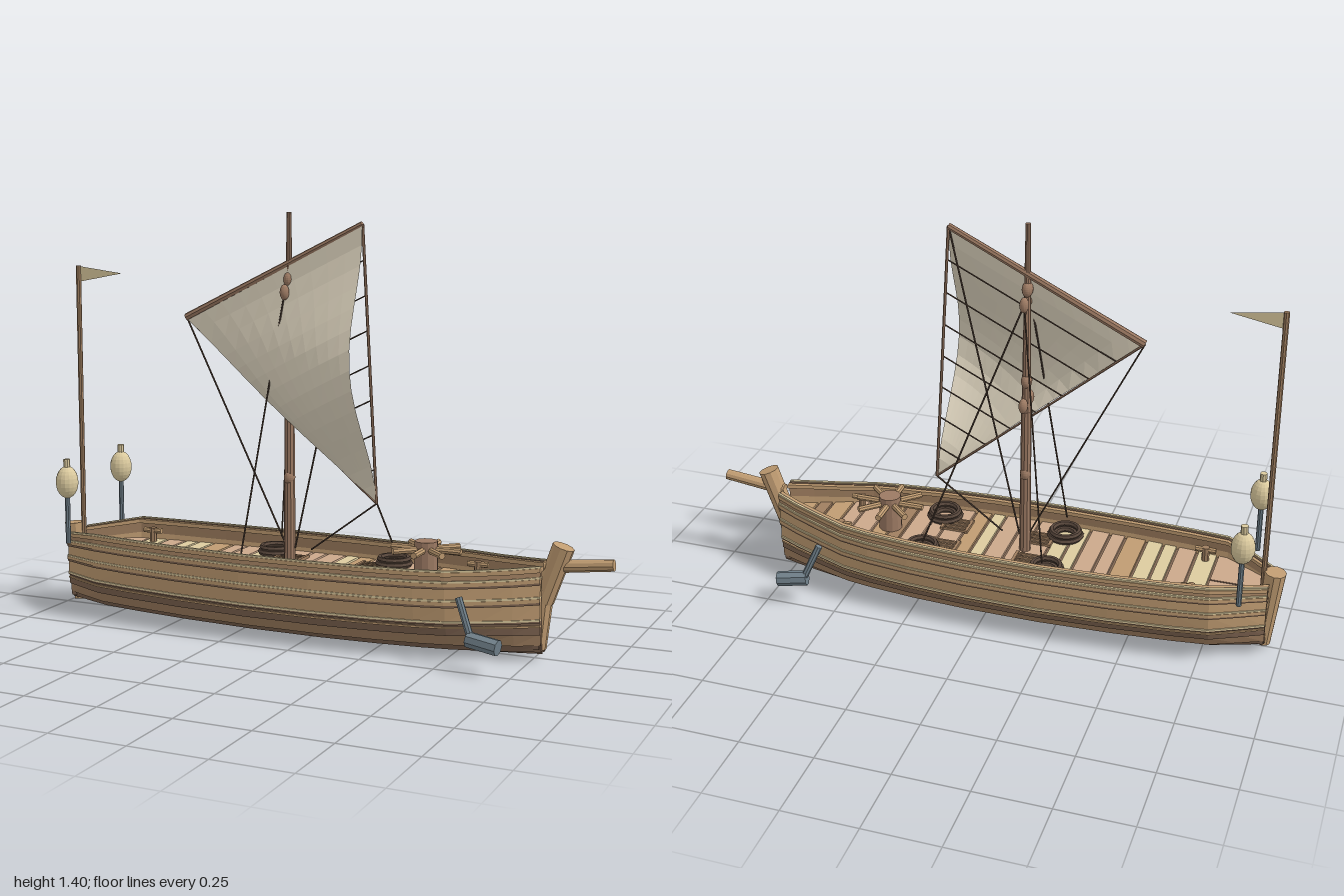
import * as THREE from 'three';

const V = (x, y, z = 0) => new THREE.Vector3(x, y, z);
const mat = (name, color, extra = {}) => {
  const m = new THREE.MeshStandardMaterial({ color, flatShading: true, ...extra });
  m.name = name;
  return m;
};

// Plan of the hull: half-width at each station along x
const PLAN = [[-0.95, 0.065], [-0.87, 0.115], [-0.78, 0.17], [-0.65, 0.185], [-0.45, 0.2], [-0.2, 0.21], [0.05, 0.207],
  [0.25, 0.195], [0.4, 0.178], [0.5, 0.16], [0.6, 0.122], [0.7, 0.085], [0.78, 0.05]];
const STATIONS = PLAN.map(p => p[0]);
const TOP = 0.285, DECK = 0.223;

function halfWidth(x) {
  let i = 0;
  while (i < PLAN.length - 2 && x > PLAN[i + 1][0]) i++;
  const [x0, w0] = PLAN[i], [x1, w1] = PLAN[i + 1];
  return w0 + (w1 - w0) * (x - x0) / (x1 - x0);
}

// Bottom rises toward both ends, sheer lifts toward the bow and drops at the stern
function hullY(x, y) {
  const rise = 0.025 * x * x;
  const sheer = x > 0.4 ? 0.14 * (x - 0.4) ** 2 : x < -0.83 ? (x + 0.83) * 0.15 : x < 0 ? 0.012 * x * x : 0;
  return y + rise * (1 - y / TOP) + sheer * y / TOP;
}

// Joins cross-sections [z, y] placed at each x into a closed solid
function sweep(xs, section, side = 1) {
  const pos = [], idx = [];
  const n = section(xs[0]).length;
  const tri = (a, b, c) => side > 0 ? idx.push(a, b, c) : idx.push(a, c, b);
  xs.forEach(x => section(x).forEach(([z, y]) => pos.push(x, y, z * side)));
  for (let i = 0; i < xs.length - 1; i++) for (let k = 0; k < n; k++) {
    const a = i * n + k, d = i * n + (k + 1) % n;
    tri(a, a + n, d + n);
    tri(a, d + n, d);
  }
  const e = (xs.length - 1) * n;
  for (let k = 1; k < n - 1; k++) {
    tri(0, k, k + 1);
    tri(e, e + k + 1, e + k);
  }
  const g = new THREE.BufferGeometry();
  g.setAttribute('position', new THREE.Float32BufferAttribute(pos, 3));
  g.setIndex(idx);
  const flat = g.toNonIndexed();
  flat.computeVertexNormals();
  return flat;
}

export function createModel() {
  const tan = mat('tan wood', 0xc09c72), brown = mat('brown wood', 0xa07f60), pink = mat('rosy wood', 0xcba88b);
  const pale = mat('pale wood', 0xdccb9f, { side: THREE.DoubleSide }), dark = mat('dark wood', 0x7d6350);
  const spar = mat('spar wood', 0x9c7a63), rope = mat('rope', 0x57463b), steel = mat('iron', 0x71818b);
  const cloth = mat('sailcloth', 0xe2d8c2, { side: THREE.DoubleSide });
  const ship = new THREE.Group();
  ship.name = 'sailingBoat';

  const add = (name, geometry, material, p = V(0, 0, 0)) => {
    const m = new THREE.Mesh(geometry, material);
    m.name = name;
    m.position.copy(p);
    ship.add(m);
    return m;
  };
  const box = (name, material, x, y, z, w, h, d) => add(name, new THREE.BoxGeometry(w, h, d), material, V(x, y, z));
  const rod = (name, material, a, b, r0, r1 = r0, sides = 8) => {
    const m = add(name, new THREE.CylinderGeometry(r1, r0, a.distanceTo(b), sides), material, a.clone().lerp(b, 0.5));
    m.quaternion.setFromUnitVectors(V(0, 1, 0), b.clone().sub(a).normalize());
    return m;
  };
  const ball = (name, material, p, rx, ry, rz) => add(name, new THREE.SphereGeometry(1, 16, 12), material, p).scale.set(rx, ry, rz);
  const both = fn => [1, -1].forEach(fn);

  // Overlapping strakes from keel to gunwale: [width fraction, height]
  const ribs = [[0, 0.008], [0.27, 0.011], [0.5, 0.019], [0.68, 0.04], [0.81, 0.075], [0.9, 0.12], [0.96, 0.175], [0.99, 0.235], [0.98, 0.28]];
  const strakeMats = [dark, dark, dark, brown, dark, tan, tan, brown];
  for (let i = 0; i < ribs.length - 1; i++) {
    const [w0, y0] = ribs[i], [w1, y1] = ribs[i + 1];
    const len = Math.hypot((w1 - w0) * 0.2, y1 - y0), nz = (y1 - y0) / len, ny = -(w1 - w0) * 0.2 / len;
    both(s => add('strake', sweep(STATIONS, x => {
      const W = halfWidth(x), o = i ? 0.006 : 0, t = 0.012;
      const za = W * w0, zb = W * w1, ya = hullY(x, y0), yb = hullY(x, y1);
      return [[za + nz * o, ya + ny * o], [zb, yb], [Math.max(0, zb - nz * t), yb - ny * t], [Math.max(0, za - nz * t), ya - ny * t]];
    }, s), strakeMats[i]));
  }
  box('keel', dark, 0.05, 0.009, 0, 0.7, 0.016, 0.025);
  box('bowBulkhead', dark, 0.765, 0.14, 0, 0.02, 0.2, 0.08);
  box('sternBulkhead', dark, -0.938, 0.14, 0, 0.02, 0.2, 0.1);

  // Rubbing rails and gunwale: [width fraction, low, high, inset, outset, material]
  [[0.86, 0.098, 0.104, 0.01, 0.009, tan], [0.905, 0.118, 0.124, 0.01, 0.01, pale], [0.9, 0.112, 0.118, 0.01, 0.008, dark],
    [0.96, 0.178, 0.19, 0.01, 0.011, tan], [0.96, 0.19, 0.196, 0.01, 0.009, pale], [0.96, 0.17, 0.178, 0.01, 0.008, dark],
    [1, 0.24, 0.252, 0.01, 0.009, tan], [1, 0.252, 0.258, 0.01, 0.007, pale], [1, 0.232, 0.24, 0.01, 0.006, dark],
    [0.98, 0.272, 0.286, 0.026, 0.008, tan], [0.98, 0.286, 0.292, 0.004, 0.005, pale], [0.98, 0.28, 0.288, 0.012, 0, dark]
  ].forEach(([w, lo, hi, a, b, m]) => both(s =>
    add('rail', sweep(STATIONS, x => {
      const z = halfWidth(x) * w, yl = hullY(x, lo), yh = hullY(x, hi);
      return [[z + b, yl], [z + b, yh], [z - a, yh], [z - a, yl]];
    }, s), m)));

  // Deck: crosswise planks of uneven width over a dark underdeck
  const deckSlab = (lo, hi, inset) => x => {
    const w = Math.max(0.02, halfWidth(x) * 0.98 - inset);
    return [[w, DECK + lo], [w, DECK + hi], [-w, DECK + hi], [-w, DECK + lo]];
  };
  add('underdeck', sweep(STATIONS, deckSlab(-0.025, -0.008, 0.008)), dark);
  const plankMats = [pink, tan, pink, pale, brown, pink, pale, tan];
  const widths = [0.07, 0.05, 0.06, 0.075, 0.055];
  for (let i = 0, x = -0.67; x < 0.7; i++) {
    const w = widths[i % 5];
    add('deckPlank', sweep([x, x + w - 0.01], deckSlab(-0.012, 0, 0.01)), plankMats[(i * 3 + (i >> 2)) % 8]);
    x += w;
  }
  add('sternDeck', sweep([-0.945, -0.87, -0.78, -0.75], deckSlab(-0.012, 0, 0.01)), pink);
  add('sternDeckPlank', sweep([-0.742, -0.68], deckSlab(-0.012, 0, 0.01)), pale);
  box('sternDeckSeam', dark, -0.85, DECK + 0.001, 0, 0.2, 0.003, 0.006);

  // Stem, bowsprit and sternpost
  rod('stem', tan, V(0.758, 0.035), V(0.775, 0.23), 0.03, 0.036, 10);
  rod('stemHead', tan, V(0.775, 0.19), V(0.838, 0.37), 0.035, 0.036, 10);
  rod('bowsprit', tan, V(0.78, 0.3), V(1, 0.325), 0.021, 0.019, 10);
  rod('sternpost', tan, V(-0.94, 0.02), V(-0.963, 0.295), 0.026, 0.036, 10);

  // Flagpole with pennant
  rod('flagpole', brown, V(-0.925, 0.2), V(-0.925, 1.21), 0.009);
  const pennant = new THREE.Shape([new THREE.Vector2(0, 0), new THREE.Vector2(0.175, -0.022), new THREE.Vector2(0, -0.055)]);
  add('pennant', new THREE.ShapeGeometry(pennant), pale, V(-0.925, 1.208, 0));

  // Stern lanterns and bow anchors
  both(s => {
    rod('lanternPole', steel, V(-0.875, 0.26, s * 0.177), V(-0.875, 0.43, s * 0.177), 0.009);
    ball('lantern', pale, V(-0.875, 0.475, s * 0.177), 0.039, 0.056, 0.039);
    rod('lanternCap', pale, V(-0.875, 0.52, s * 0.177), V(-0.875, 0.555, s * 0.177), 0.012);
    rod('anchorShank', steel, V(0.565, 0.225, s * 0.205), V(0.618, 0.1, s * 0.233), 0.012);
    rod('anchorHead', steel, V(0.605, 0.103, s * 0.228), V(0.708, 0.091, s * 0.245), 0.026);
  });

  // Capstan
  rod('capstanDrum', spar, V(0.38, DECK), V(0.38, 0.347), 0.04, 0.038, 12);
  for (let i = 0; i < 4; i++) {
    const a = i * Math.PI / 4, d = V(Math.cos(a) * 0.12, 0, Math.sin(a) * 0.115);
    rod('capstanBar', tan, V(0.38, 0.32).sub(d), V(0.38, 0.32).add(d), 0.011);
  }

  // Mooring bitts
  [[-0.71, 0.12], [0.525, 0.095]].forEach(([x, z]) => both(s => {
    rod('bittPost', brown, V(x, DECK, s * z), V(x, DECK + 0.05, s * z), 0.013);
    rod('bittBar', tan, V(x - 0.035, DECK + 0.04, s * z), V(x + 0.035, DECK + 0.04, s * z), 0.01);
  }));

  // Flat rope coils and low gratings
  [-0.22, 0.22].forEach(x => both(s => [[0.054, 0.01], [0.036, 0.008], [0.048, 0.025]].forEach(([r, y]) => {
    add('ropeCoil', new THREE.TorusGeometry(r, 0.01, 6, 16), rope, V(x, DECK + y, s * 0.12)).rotation.x = Math.PI / 2;
  })));
  [-0.14, 0.16].forEach(x => both(s => {
    for (let i = 0; i < 4; i++) box('gratingBar', brown, x, DECK + 0.004, s * (0.04 + i * 0.022), 0.09, 0.008, 0.007);
    both(e => box('gratingEdge', brown, x + e * 0.045, DECK + 0.005, s * 0.073, 0.01, 0.01, 0.08));
  }));

  // Mast and slanted yard
  const A = V(-0.495, 1.043), B = V(0.152, 1.362), C = V(0.205, 0.455);
  rod('mast', spar, V(-0.11, 0.2), V(-0.11, 0.75), 0.02, 0.017, 10);
  rod('topmast', spar, V(-0.11, 0.75), V(-0.11, 1.4), 0.016, 0.008, 10);
  rod('yard', spar, A, B, 0.014, 0.011);

  // Triangular sail, bellied most along the trailing edge
  const N = 14, M = 10, pos = [], idx = [];
  for (let i = 0; i <= N; i++) for (let j = 0; j <= M; j++) {
    const t = i / N, s = j / M;
    const p = A.clone().lerp(B, s).lerp(C, t);
    p.z = 0.008 * (1 - t) + 0.162 * Math.sin(Math.PI * t) ** 2 * (0.15 + 0.85 * Math.sin(s * Math.PI / 2) ** 0.7);
    pos.push(p.x, p.y, p.z);
    if (i < N && j < M) {
      const a = i * (M + 1) + j, b = a + M + 1;
      idx.push(a, b, a + 1);
      if (i < N - 1) idx.push(b, b + 1, a + 1);
    }
  }
  const sail = new THREE.BufferGeometry();
  sail.setAttribute('position', new THREE.Float32BufferAttribute(pos, 3));
  sail.setIndex(idx);
  const sailFlat = sail.toNonIndexed();
  sailFlat.computeVertexNormals();
  add('sail', sailFlat, cloth);

  // Sail edge ropes and the cross lines behind the cloth
  rod('leechRope', spar, B, C, 0.005, 0.005, 6);
  rod('footRope', spar, A, C, 0.004, 0.004, 6);
  for (let i = 1; i < 8; i++) rod('crossLine', rope, A.clone().lerp(C, i / 8), B.clone().lerp(C, i / 8), 0.0025, 0.0025, 5);

  // Running and standing rigging
  const line = (name, a, b) => rod(name, rope, a, b, 0.003, 0.003, 6);
  [[A, V(-0.12, 0.28)], [B, V(-0.09, 0.28)], [C, V(-0.03, 0.28)]].forEach(([a, b]) => line('sheet', a, b));
  both(s => line('aftShroud', V(-0.11, 1.14, s * 0.035), V(-0.215, 0.28, s * 0.155)));
  line('forwardShroud', V(-0.11, 1.14, -0.035), V(0.205, 0.28, -0.155));

  // Pulley blocks
  both(s => [1.14, 0.785].forEach(y => ball('block', spar, V(-0.11, y, s * 0.036), 0.015, 0.026, 0.019)));
  [1.18, 0.86, 0.52].forEach(y => ball('block', spar, V(-0.11, y, 0), 0.018, 0.026, 0.024));

  return ship;
}
